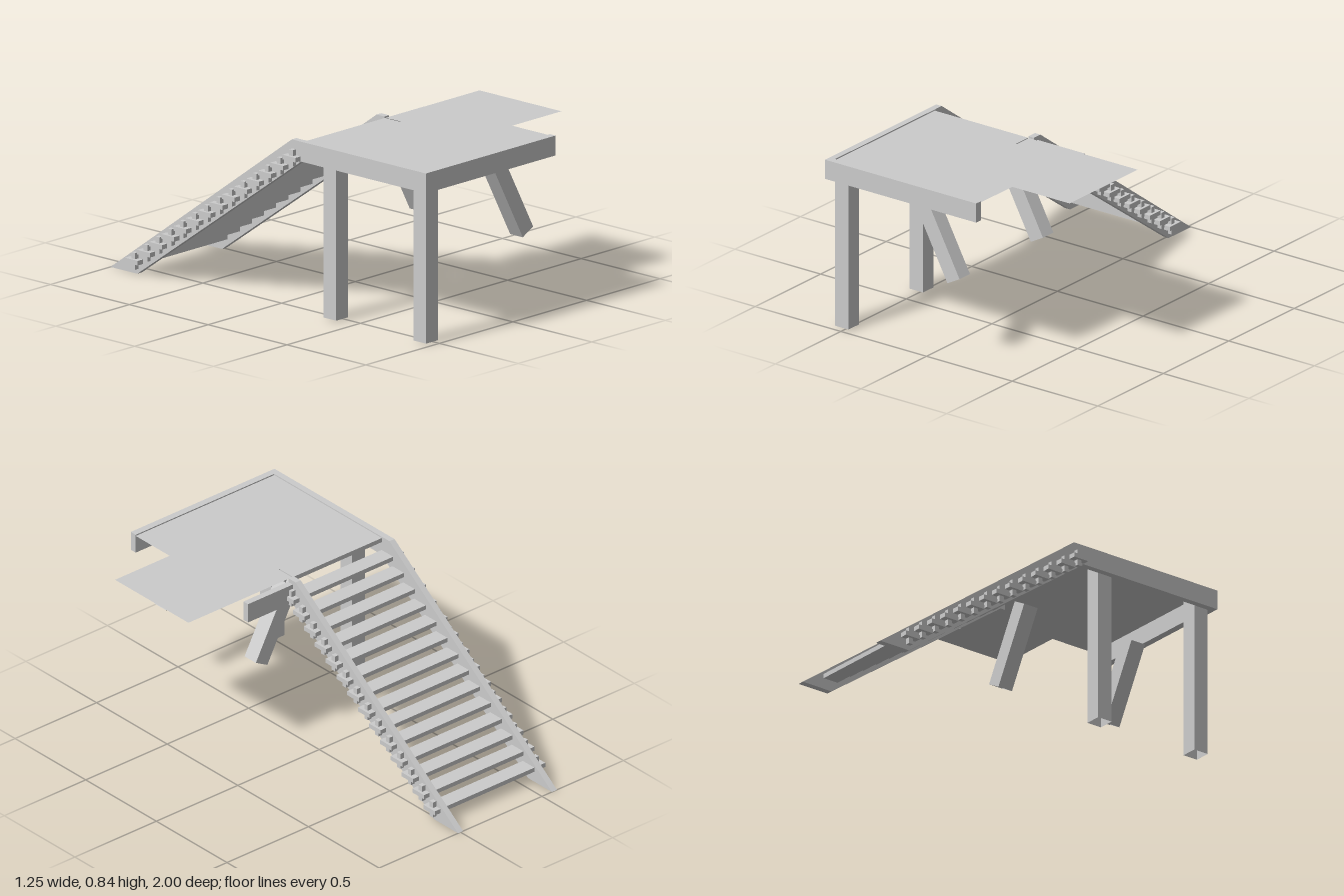
import * as THREE from 'three';

const solid = new THREE.MeshStandardMaterial({ color: 0xcccccc, flatShading: true });
const thin = new THREE.MeshStandardMaterial({ color: 0xcccccc, flatShading: true, side: THREE.DoubleSide });

export function createModel() {
  const model = new THREE.Group();

  const add = (name, geometry, material = solid, parent = model) => {
    const mesh = new THREE.Mesh(geometry, material);
    mesh.name = name;
    parent.add(mesh);
    return mesh;
  };
  // Box given by its extents
  const box = (name, x0, x1, y0, y1, z0, z1, parent = model) => {
    const mesh = add(name, new THREE.BoxGeometry(x1 - x0, y1 - y0, z1 - z0), solid, parent);
    mesh.position.set((x0 + x1) / 2, (y0 + y1) / 2, (z0 + z1) / 2);
    return mesh;
  };
  // Square post with open ends
  const post = (name, width, length, x, y, z, tilt = 0) => {
    const geometry = new THREE.CylinderGeometry(width / Math.SQRT2, width / Math.SQRT2, length, 4, 1, true);
    geometry.rotateY(Math.PI / 4);
    const mesh = add(name, geometry, thin);
    mesh.position.set(x, y, z);
    mesh.rotation.z = tilt;
  };
  const outline = (points) => new THREE.Shape(points.map(([a, b]) => new THREE.Vector2(a, b)));

  // Thin deck with a side wing and a notch for the top step
  const deck = new THREE.ShapeGeometry(outline([
    [-0.56, -0.965], [0.29, -0.965], [0.29, -0.725], [0.625, -0.725],
    [0.625, -0.205], [-0.01, -0.205], [-0.01, -0.3], [-0.56, -0.3],
  ]));
  deck.rotateX(-Math.PI / 2);
  add('deck', deck, thin).position.y = 0.832;

  // Edge beams
  box('frontBeam', -0.592, 0.29, 0.742, 0.838, 0.965, 1);
  box('sideBeam', -0.592, -0.56, 0.742, 0.838, 0.2, 0.965);
  box('backBeam', -0.01, 0.29, 0.72, 0.818, 0.17, 0.203);

  // Upright posts and slanted braces
  for (const z of [0.93, 0.36]) post('post', 0.08, 0.815, -0.518, 0.4125, z);
  for (const z of [0.93, 0.293]) post('brace', 0.08, 0.403, 0.039, 0.5775, z, 0.494);

  // Staircase
  const stairs = new THREE.Group();
  stairs.name = 'stairs';
  model.add(stairs);

  const side = new THREE.ExtrudeGeometry(outline([
    [1, 0], [-0.15, 0.838], [-0.2, 0.838], [-0.2, 0.735], [0.83, 0],
  ]), { depth: 0.031, bevelEnabled: false });
  side.rotateY(Math.PI / 2);
  for (const x of [-0.592, -0.016]) add('stringer', side, solid, stairs).position.x = x;

  box('topStep', -0.56, -0.016, 0.81, 0.832, 0.203, 0.3, stairs);

  // Treads pass through both stringers and are pinned by upright pegs
  for (let i = 0; i < 14; i++) {
    const y = 0.065 + 0.0531 * i;
    const z = -0.835 + 0.0769 * i;
    box('tread', -0.628, 0.05, y - 0.011, y + 0.011, z - 0.041, z + 0.041, stairs);
    for (const x of [-0.614, 0.015]) {
      box('peg', x, x + 0.022, y - 0.04, y + 0.04, z - 0.012, z + 0.012, stairs);
    }
  }
  return model;
}
